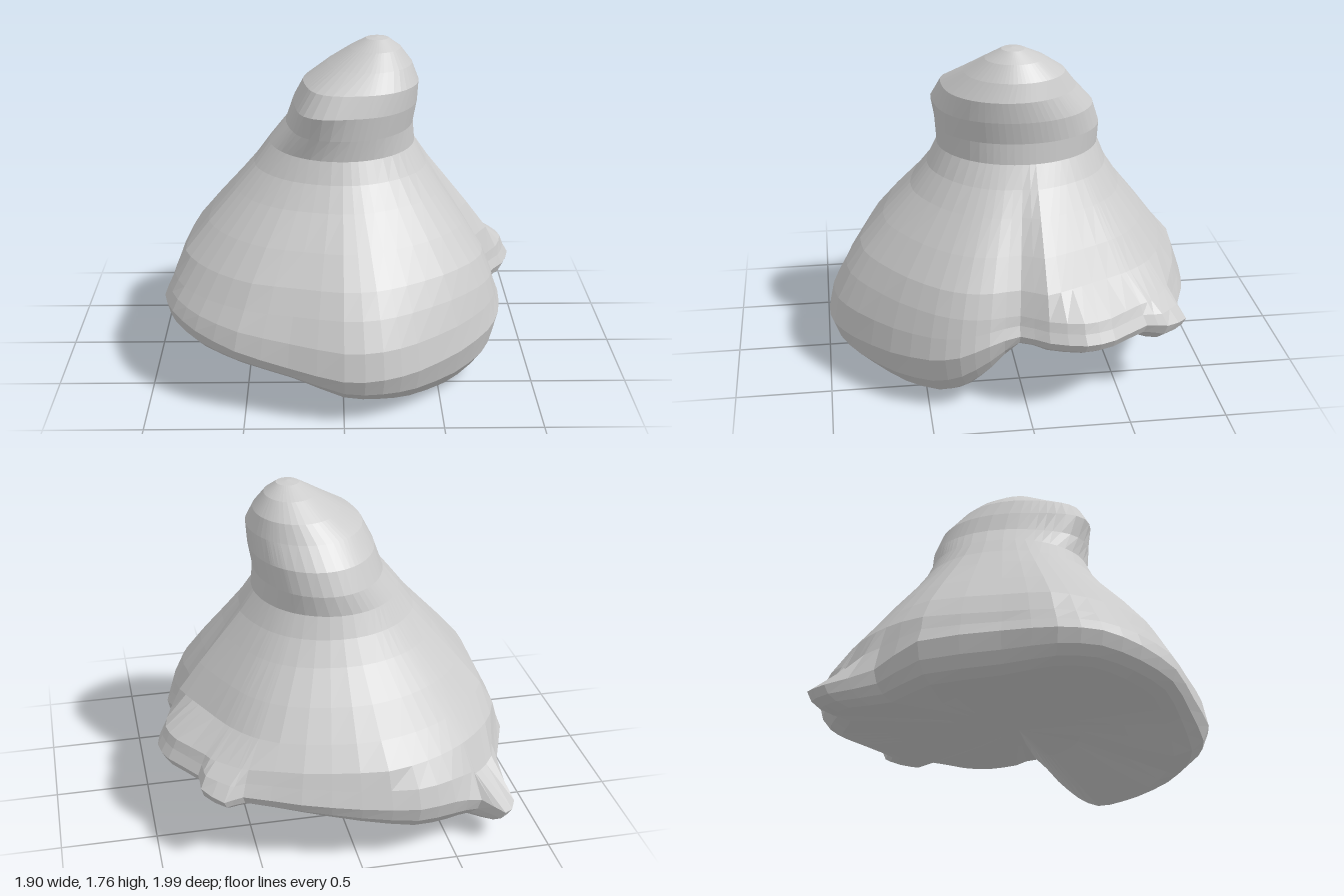
import * as THREE from 'three';

// Skirt rim, running from the left side through the front: x, z, height of widest point, height of lower edge
const RIM = [
  [0.81, 0.04, 0.43, 0.34], [0.84, 0.2, 0.40, 0.20], [0.83, 0.35, 0.34, 0.09], [0.76, 0.5, 0.30, 0.02],
  [0.6, 0.69, 0.27, 0.0], [0.38, 0.87, 0.25, 0.02], [0.2, 0.97, 0.25, 0.06], [0, 0.99, 0.25, 0.09],
  [-0.28, 0.91, 0.29, 0.18], [-0.55, 0.82, 0.34, 0.23], [-0.76, 0.66, 0.38, 0.25], [-0.89, 0.48, 0.41, 0.27],
  [-0.95, 0.27, 0.41, 0.26], [-0.93, 0, 0.41, 0.23], [-0.91, -0.4, 0.38, 0.20], [-0.82, -0.62, 0.28, 0.15],
  [-0.85, -0.85, 0.2, 0.12], [-0.77, -0.95, 0.2, 0.11], [-0.66, -0.88, 0.25, 0.12], [-0.5, -0.94, 0.3, 0.13],
  [-0.3, -1.0, 0.32, 0.16], [0, -0.98, 0.35, 0.22], [0.3, -0.92, 0.38, 0.28], [0.58, -0.82, 0.4, 0.31],
  [0.68, -0.85, 0.4, 0.32], [0.78, -0.73, 0.42, 0.31], [0.78, -0.62, 0.43, 0.34], [0.91, -0.43, 0.43, 0.34],
  [0.95, -0.28, 0.43, 0.34], [0.9, -0.1, 0.43, 0.34],
];
// Underside hollow: share of the lower edge's radius, blend towards the middle
const UNDER = [[0.4, 0.75], [0.72, 0.35], [1, 0]];
// Rounded edge: blend from lower edge to rim outwards, and upwards
const EDGE = [[0.5, 0.18], [0.83, 0.5], [1, 1]];
// Flaring slope: height, share of the way from neck to rim, extra at the sides, cut at the front
const SLOPE = [
  [0.53, 0.9, 0.02, 0.05], [0.65, 0.76, 0.05, 0.01], [0.8, 0.54, 0.05, 0],
  [0.96, 0.29, 0.05, 0], [1.08, 0.12, 0.03, 0],
];
// Head: height, centre x and z, radius x and z, size of the front corner
const HEAD = [
  [1.19, 0, -0.05, 0.39, 0.43, 0], [1.3, 0.04, -0.05, 0.34, 0.43, 0.04], [1.42, 0.07, -0.03, 0.33, 0.41, 0.08],
  [1.53, 0.1, 0, 0.305, 0.345, 0.05], [1.62, 0.145, -0.02, 0.225, 0.26, 0.02],
  [1.7, 0.175, -0.015, 0.135, 0.155, 0], [1.75, 0.185, -0.005, 0.06, 0.06, 0],
];
const HOLLOW = 0.26;
const COLS = 60;

// Bell curve around a direction
function bell(a, centre, width) {
  const d = Math.atan2(Math.sin(a - centre), Math.cos(a - centre));
  return Math.exp(-((d / width) ** 2));
}

function headPoint([y, cx, cz, rx, rz, corner], a) {
  const bump = corner * bell(a, 2.2, 0.42);
  return [cx + Math.cos(a) * (rx + bump), y, cz + Math.sin(a) * (rz + bump)];
}

function buildColumns() {
  const closed = (k) => new THREE.CatmullRomCurve3(
    RIM.map((p) => new THREE.Vector3(p[0], p[k], p[1])), true, 'catmullrom', 0.4);
  const wide = closed(2), low = closed(3);
  const lerp = THREE.MathUtils.lerp;
  const columns = [];
  for (let j = 0; j < COLS; j++) {
    const w = wide.getPoint(j / COLS), yLow = low.getPoint(j / COLS).y;
    const a = Math.atan2(w.z, w.x), r = Math.hypot(w.x, w.z);
    // The lower edge sits further in below the heavy front foot
    const inset = 0.88 - 0.12 * bell(a, 0.9, 0.9);
    const col = UNDER.map(([s, mid]) => [w.x * s * inset, lerp(yLow, HOLLOW, mid), w.z * s * inset]);
    EDGE.forEach(([out, up]) => {
      const s = lerp(inset, 1, out);
      col.push([w.x * s, lerp(yLow, w.y, up), w.z * s]);
    });
    // Rounded shoulder just above the rim
    const shoulder = Math.min(r, 1.06) / r * 0.97;
    col.push([w.x * shoulder, lerp(w.y, 0.53, 0.5), w.z * shoulder]);
    // The corners and the side lobe fade out as the slope rises
    const neck = headPoint(HEAD[0], a);
    const limit = 0.99 - 0.12 * bell(a, -0.4, 0.45);
    SLOPE.forEach(([y, share, side, front], i) => {
      const k = Math.min(r, i ? limit : 1.01) / r;
      const f = share + side * Math.cos(2 * a) - front * Math.max(0, Math.sin(a));
      col.push([lerp(neck[0], w.x * k, f), y, lerp(neck[2], w.z * k, f)]);
    });
    HEAD.forEach((ring) => col.push(headPoint(ring, a)));
    columns.push(col);
  }
  return columns;
}

export function createModel() {
  const group = new THREE.Group();
  const columns = buildColumns();
  const rows = columns[0].length;
  const positions = [], index = [];
  columns.forEach((col) => col.forEach((p) => positions.push(...p)));
  const bottom = COLS * rows, top = bottom + 1;
  positions.push(0, HOLLOW, 0, 0.185, 1.758, 0);

  for (let j = 0; j < COLS; j++) {
    const a = j * rows, b = ((j + 1) % COLS) * rows;
    for (let i = 0; i < rows - 1; i++) {
      index.push(b + i, a + i, a + i + 1, b + i, a + i + 1, b + i + 1);
    }
    index.push(bottom, a, b, top, b + rows - 1, a + rows - 1);
  }

  const geometry = new THREE.BufferGeometry();
  geometry.setAttribute('position', new THREE.Float32BufferAttribute(positions, 3));
  geometry.setIndex(index);
  geometry.computeVertexNormals();
  const body = new THREE.Mesh(geometry, new THREE.MeshStandardMaterial({ color: 0xcccccc, flatShading: true }));
  body.name = 'flaredBody';
  group.add(body);
  return group;
}
